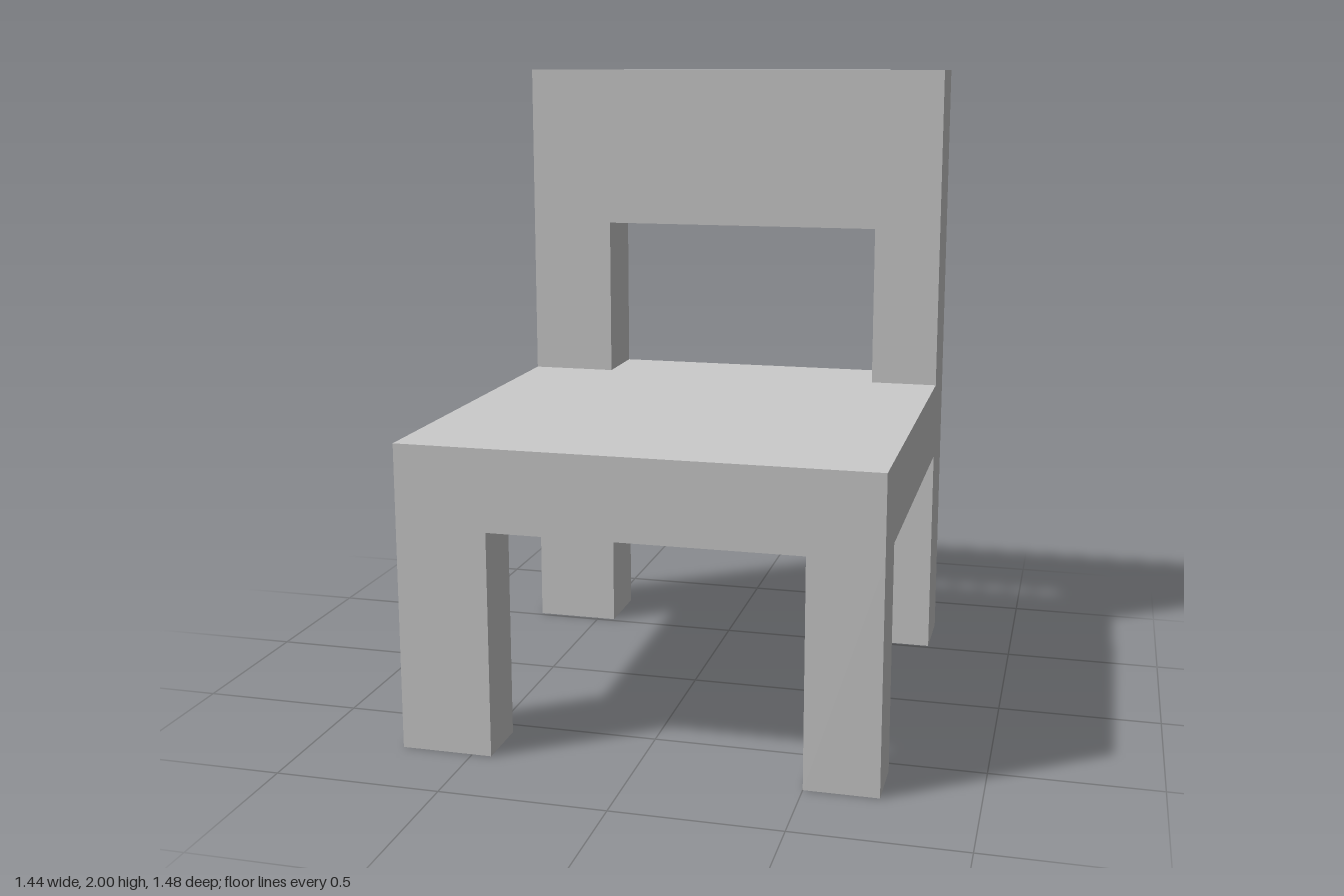
import * as THREE from 'three';

const material = new THREE.MeshStandardMaterial({ color: 0xcccccc, flatShading: true });

// Main levels and edges of the chair
const LEFT = 0.72, RIGHT = -0.72, INNER_LEFT = 0.5, INNER_RIGHT = -0.44;
const FRONT = 0.74, BACK = -0.74, BACK_FRAME_FRONT = -0.515, FRONT_LEG_BACK = 0.555;
const SEAT_BOTTOM = 0.69, SEAT_TOP = 0.94, OPENING_TOP = 1.47, TOP = 2;

// Box given by its lower and upper limits on each axis
function block(name, [x0, x1], [y0, y1], [z0, z1]) {
  const mesh = new THREE.Mesh(new THREE.BoxGeometry(x1 - x0, y1 - y0, z1 - z0), material);
  mesh.position.set((x0 + x1) / 2, (y0 + y1) / 2, (z0 + z1) / 2);
  mesh.name = name;
  return mesh;
}

const points = (list) => list.map(([x, y]) => new THREE.Vector2(x, y));

// Rear legs, posts and backrest in one slab, with a window above the seat
function createBackFrame() {
  const shape = new THREE.Shape(points([
    [RIGHT, 0], [INNER_RIGHT, 0], [INNER_RIGHT, SEAT_BOTTOM], [INNER_LEFT, SEAT_BOTTOM],
    [INNER_LEFT, 0], [LEFT, 0], [LEFT, TOP], [RIGHT, TOP],
  ]));
  shape.holes.push(new THREE.Path(points([
    [INNER_RIGHT, SEAT_TOP], [INNER_RIGHT, OPENING_TOP],
    [INNER_LEFT, OPENING_TOP], [INNER_LEFT, SEAT_TOP],
  ])));
  const geometry = new THREE.ExtrudeGeometry(shape, {
    depth: BACK_FRAME_FRONT - BACK, bevelEnabled: false,
  });
  const mesh = new THREE.Mesh(geometry, material);
  mesh.position.z = BACK;
  mesh.name = 'backFrame';
  return mesh;
}

export function createModel() {
  const chair = new THREE.Group();
  chair.name = 'chair';
  chair.add(
    createBackFrame(),
    block('seat', [RIGHT, LEFT], [SEAT_BOTTOM, SEAT_TOP], [BACK_FRAME_FRONT, FRONT]),
    // The right legs are wider than the left ones
    block('frontLegRight', [RIGHT, INNER_RIGHT], [0, SEAT_BOTTOM], [FRONT_LEG_BACK, FRONT]),
    block('frontLegLeft', [INNER_LEFT, LEFT], [0, SEAT_BOTTOM], [FRONT_LEG_BACK, FRONT]),
  );
  return chair;
}
